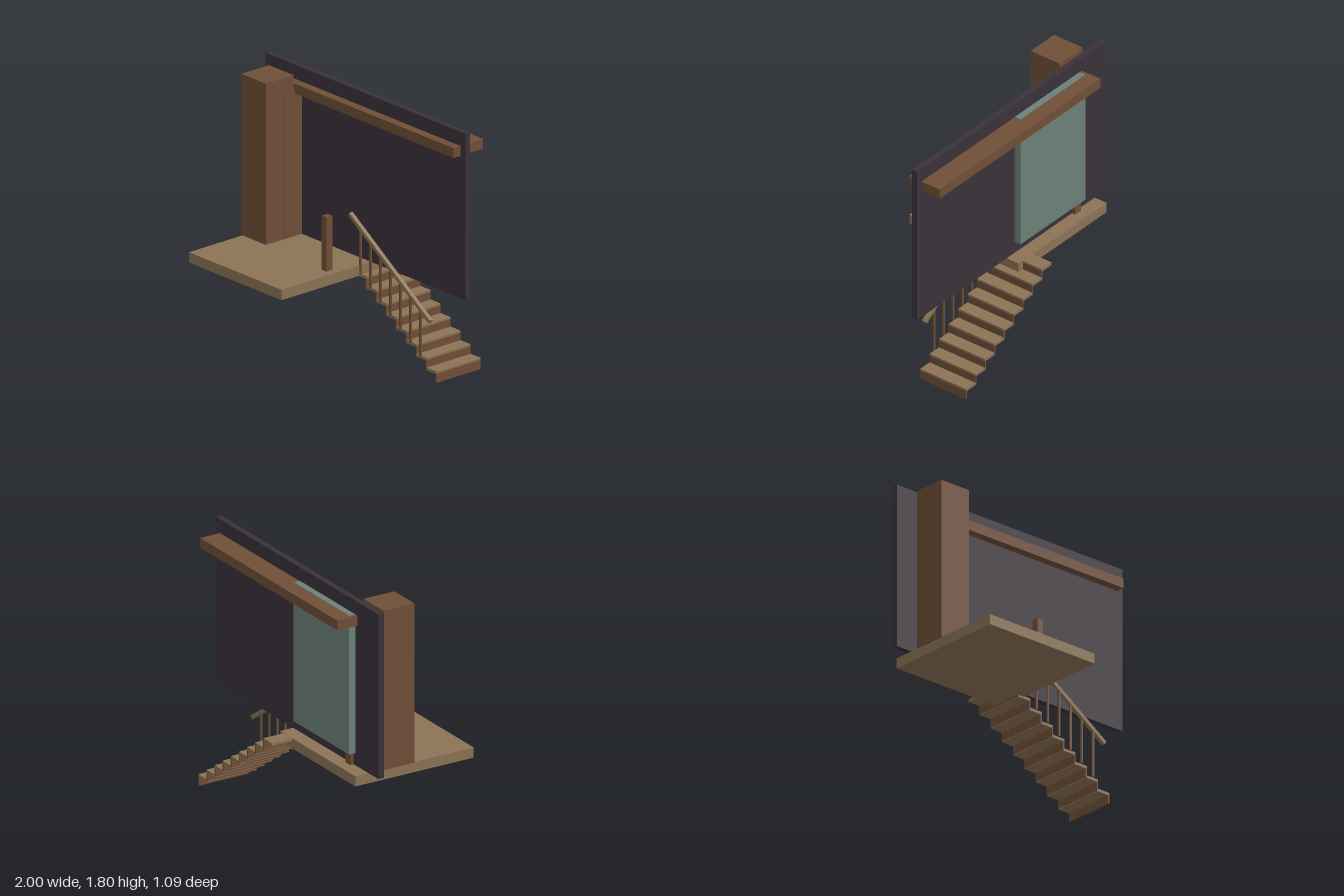
import * as THREE from 'three';

const material = (name, color) => {
  const m = new THREE.MeshStandardMaterial({ color });
  m.name = name;
  return m;
};

export function createModel() {
  const model = new THREE.Group();
  const darkWood = material('dark wood', 0x6f4e37);
  const lightWood = material('light wood', 0x8b7355);
  const wallPaint = material('dark wall', 0x3a323a);
  const doorPaint = material('grey green', 0x6c8078);

  // Box given by its extents along each axis
  const block = (parent, name, mat, [x0, x1], [y0, y1], [z0, z1]) => {
    const mesh = new THREE.Mesh(new THREE.BoxGeometry(x1 - x0, y1 - y0, z1 - z0), mat);
    mesh.position.set((x0 + x1) / 2, (y0 + y1) / 2, (z0 + z1) / 2);
    mesh.name = name;
    parent.add(mesh);
    return mesh;
  };

  // Landing, wall and sliding panel
  block(model, 'platform', lightWood, [-0.875, 0.053], [0.547, 0.62], [-0.385, 0.543]);
  block(model, 'wall', wallPaint, [-1, 1], [0.621, 1.8], [-0.284, -0.242]);
  block(model, 'slidingPanel', doorPaint, [-0.715, -0.03], [0.707, 1.703], [-0.332, -0.28]);

  // Heavy timbers
  block(model, 'pillar', darkWood, [-0.886, -0.64], [0.62, 1.762], [-0.172, 0.071]);
  block(model, 'doorPost', darkWood, [-0.695, -0.636], [0.62, 1.652], [-0.31, -0.09]);
  block(model, 'beam', darkWood, [-0.742, 0.953], [1.63, 1.7], [-0.44, -0.18]);
  block(model, 'newelPost', darkWood, [-0.055, -0.005], [0.62, 1.003], [0.045, 0.096]);

  // Staircase: nine treads with risers, counted from the bottom
  const stairs = new THREE.Group();
  stairs.name = 'stairs';
  model.add(stairs);
  const rise = 0.0675, run = 0.1, depth = [-0.545, -0.157];
  const treadTop = (i) => 0.081 + i * rise;
  for (let i = 0; i < 9; i++) {
    const right = 0.809 - i * run, top = treadTop(i) - (i === 8 ? 0.002 : 0);
    block(stairs, 'tread', lightWood, [right - 0.105, right], [top - 0.02, top], depth);
    block(stairs, 'riser', darkWood, [right - 0.01, right + 0.001], [Math.max(0, top - rise - 0.012), top - 0.014], depth);
  }

  // Sloping handrail
  const railing = new THREE.Group();
  railing.name = 'railing';
  model.add(railing);
  const a = new THREE.Vector2(-0.046, 0.957), b = new THREE.Vector2(0.757, 0.423);
  const rail = new THREE.Mesh(new THREE.BoxGeometry(a.distanceTo(b), 0.027, 0.028), lightWood);
  rail.name = 'handrail';
  rail.position.set((a.x + b.x) / 2, (a.y + b.y) / 2, -0.15);
  rail.rotation.z = Math.atan2(b.y - a.y, b.x - a.x);
  railing.add(rail);

  // Balusters from tread to handrail
  for (let i = 1; i <= 7; i++) {
    const x = 0.756 - i * run;
    const top = a.y + ((b.y - a.y) * (x - a.x)) / (b.x - a.x);
    block(railing, 'baluster', darkWood, [x - 0.007, x + 0.007], [treadTop(i), top], [-0.157, -0.143]);
  }

  return model;
}
